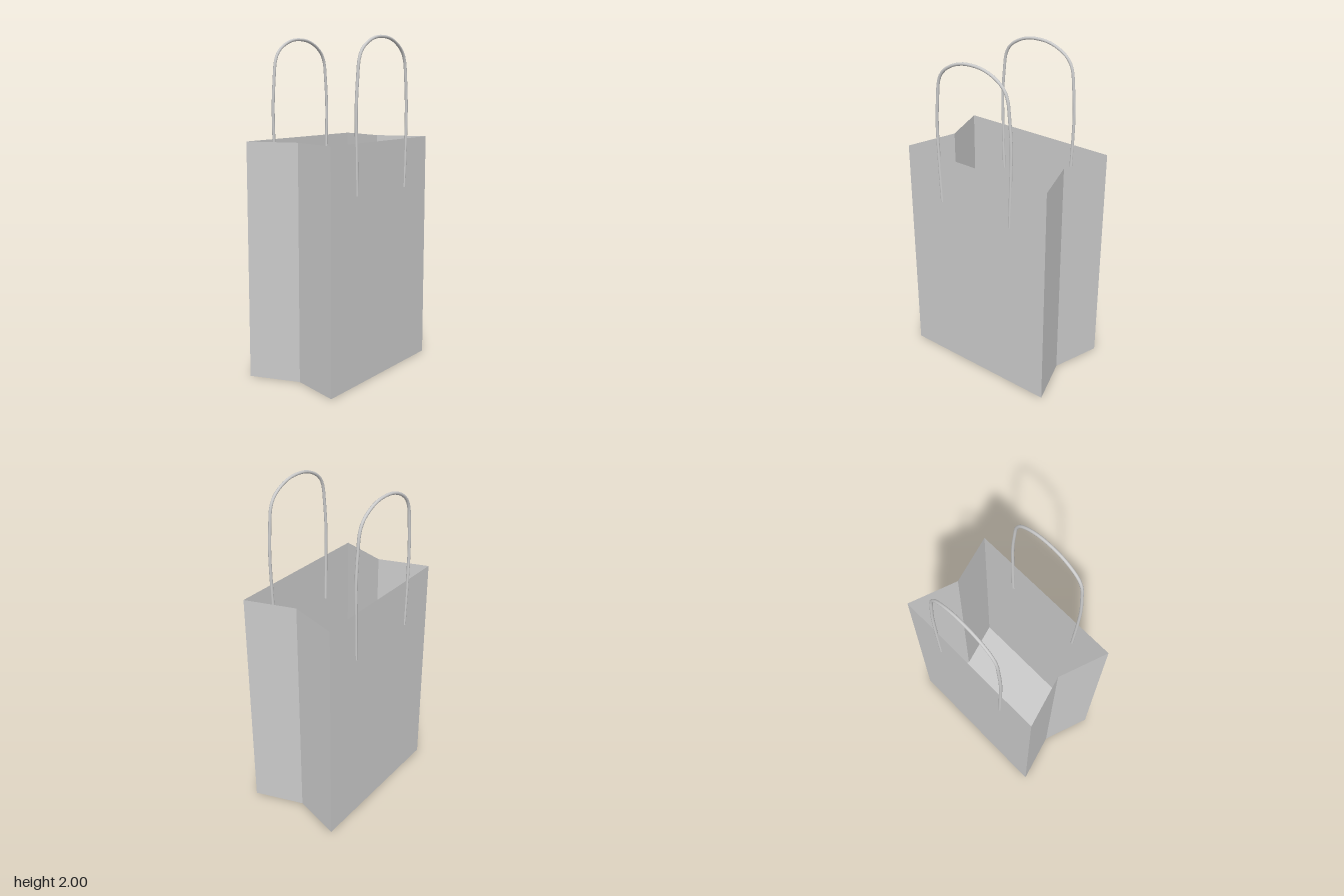
import * as THREE from 'three';

const HEIGHT = 1.4;
const paper = new THREE.MeshStandardMaterial({ color: 0xcccccc, side: THREE.DoubleSide });
paper.name = 'grey paper';

// Footprint as [x, z], with both narrow sides folded inward
const outline = [
  [0.3, 0.498], [0.3, -0.498], [0, -0.402],
  [-0.3, -0.498], [-0.3, 0.498], [0, 0.402],
];

function addMesh(group, geometry, name) {
  const mesh = new THREE.Mesh(geometry, paper);
  mesh.name = name;
  group.add(mesh);
  return mesh;
}

// One flat upright panel between two footprint corners, facing outward
function panel([ax, az], [bx, bz]) {
  const a = new THREE.Vector3(ax, 0, az), b = new THREE.Vector3(bx, 0, bz);
  const c = b.clone().setY(HEIGHT), d = a.clone().setY(HEIGHT);
  const geometry = new THREE.BufferGeometry().setFromPoints([a, b, c, a, c, d]);
  geometry.computeVertexNormals();
  return geometry;
}

export function createModel() {
  const bag = new THREE.Group();
  bag.name = 'paperBag';

  // Walls and folded gussets
  const names = ['leftWall', 'backGussetLeft', 'backGussetRight', 'rightWall', 'frontGussetRight', 'frontGussetLeft'];
  outline.forEach((p, i) => addMesh(bag, panel(p, outline[(i + 1) % outline.length]), names[i]));

  // Floor, facing down
  const floor = new THREE.Shape(outline.map(([x, z]) => new THREE.Vector2(x, z)));
  addMesh(bag, new THREE.ShapeGeometry(floor).rotateX(Math.PI / 2), 'floor');

  // Half of a handle as [z, y], from the leg end up to the crown
  const half = [
    [0.25, 1.105], [0.259, 1.38], [0.262, 1.6], [0.251, 1.75],
    [0.236, 1.86], [0.205, 1.915], [0.14, 1.96], [0.07, 1.984],
  ];
  const path = [
    ...half, [0, 1.99],
    ...half.slice().reverse().map(([z, y]) => [-z, y]),
  ];
  for (const side of [1, -1]) {
    const points = path.map(([z, y]) => new THREE.Vector3(side * (y < 1.2 ? 0.297 : 0.299), y, z));
    const curve = new THREE.CatmullRomCurve3(points);
    const handle = new THREE.Group();
    handle.name = side > 0 ? 'leftHandle' : 'rightHandle';
    addMesh(handle, new THREE.TubeGeometry(curve, 72, 0.009, 10), 'cord');

    // Closed cord ends
    for (const [i, end] of [0, points.length - 1].entries()) {
      const cap = addMesh(handle, new THREE.CircleGeometry(0.009, 10).rotateX(Math.PI / 2), i ? 'backCordEnd' : 'frontCordEnd');
      cap.position.copy(points[end]);
    }
    bag.add(handle);
  }
  return bag;
}
